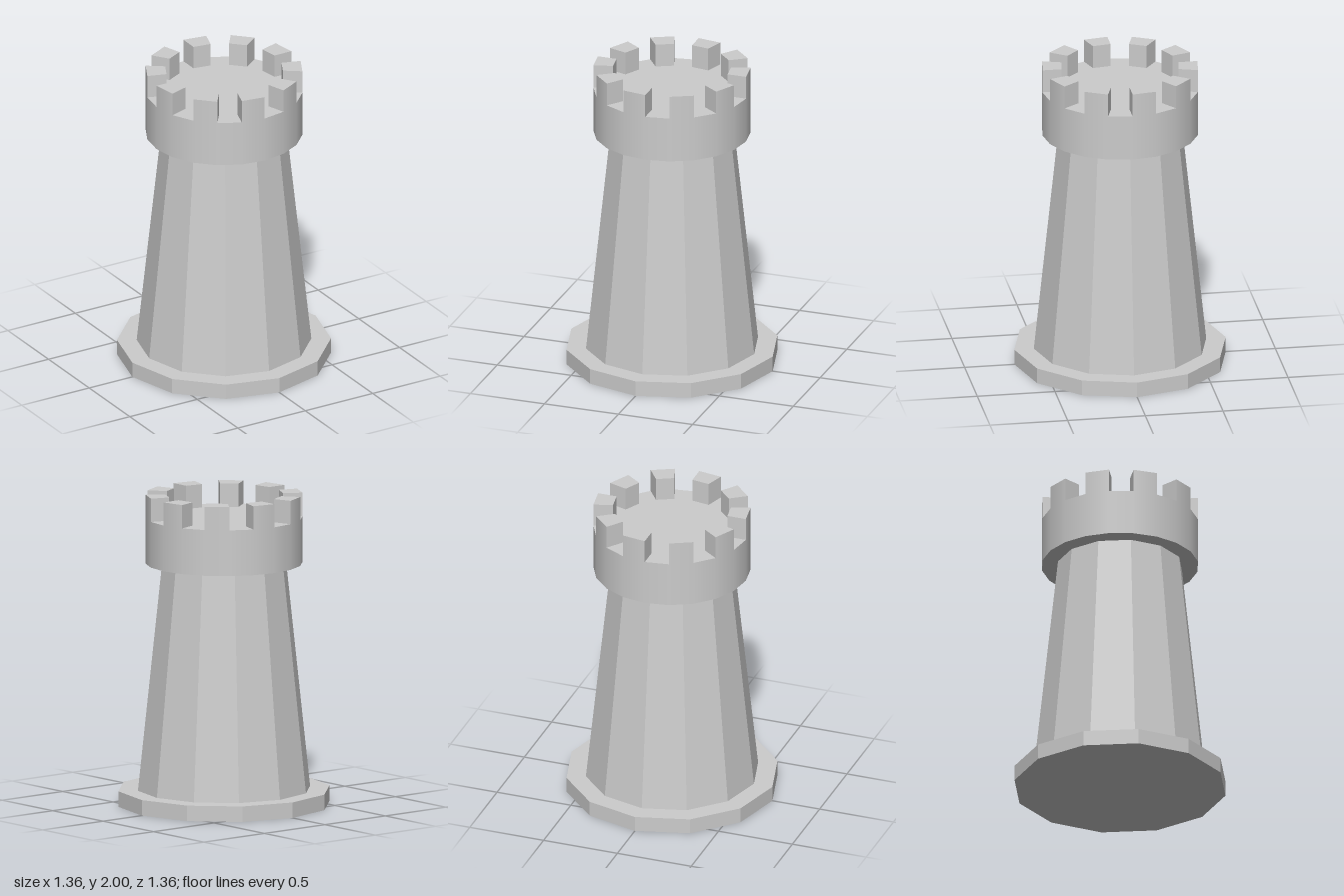
import * as THREE from 'three';

const flat = new THREE.MeshStandardMaterial({ color: 0xcccccc, flatShading: true });
const smooth = new THREE.MeshStandardMaterial({ color: 0xcccccc });

const CROWN_R = 0.5, INNER_R = 0.375, STEP = Math.PI / 10;
const CROWN_BOTTOM = 1.555, CROWN_TOP = 1.85, TOP = 2;

// Upright prism or cone section standing between two heights
function drum(name, rTop, rBottom, y0, y1, sides, material) {
  const geometry = new THREE.CylinderGeometry(rTop, rBottom, y1 - y0, sides);
  const mesh = new THREE.Mesh(geometry, material);
  mesh.position.y = (y0 + y1) / 2;
  mesh.name = name;
  return mesh;
}

// One battlement block filling a single side of the crown, with radial ends
function merlonGeometry() {
  const corner = (r, a) => new THREE.Vector2(r * Math.sin(a), -r * Math.cos(a));
  const shape = new THREE.Shape([
    corner(INNER_R, -STEP), corner(CROWN_R, -STEP), corner(CROWN_R, 0), corner(INNER_R, 0),
  ]);
  const geometry = new THREE.ExtrudeGeometry(shape, { depth: TOP - CROWN_TOP, bevelEnabled: false });
  geometry.rotateX(-Math.PI / 2);

  // Outer face takes radial normals so it shades on from the crown wall
  const { position, normal } = geometry.attributes;
  for (let i = 0; i < position.count; i++) {
    const x = position.getX(i) / CROWN_R, z = position.getZ(i) / CROWN_R;
    if (normal.getX(i) * x + normal.getZ(i) * z > 0.9) normal.setXYZ(i, x, 0, z);
  }
  return geometry;
}

export function createModel() {
  const tower = new THREE.Group();
  tower.name = 'tower';

  tower.add(
    drum('base', 0.68, 0.68, 0, 0.1, 12, flat),
    drum('shaft', 0.4, 0.555, 0.1, CROWN_BOTTOM, 12, flat),
    drum('crown', CROWN_R, CROWN_R, CROWN_BOTTOM, CROWN_TOP, 20, smooth),
  );

  // Battlements on every other side of the crown
  const battlements = new THREE.Group();
  battlements.name = 'battlements';
  const geometry = merlonGeometry();
  for (let i = 0; i < 10; i++) {
    const merlon = new THREE.Mesh(geometry, smooth);
    merlon.name = 'merlon';
    merlon.position.y = CROWN_TOP;
    merlon.rotation.y = i * 2 * STEP;
    battlements.add(merlon);
  }
  tower.add(battlements);
  return tower;
}
